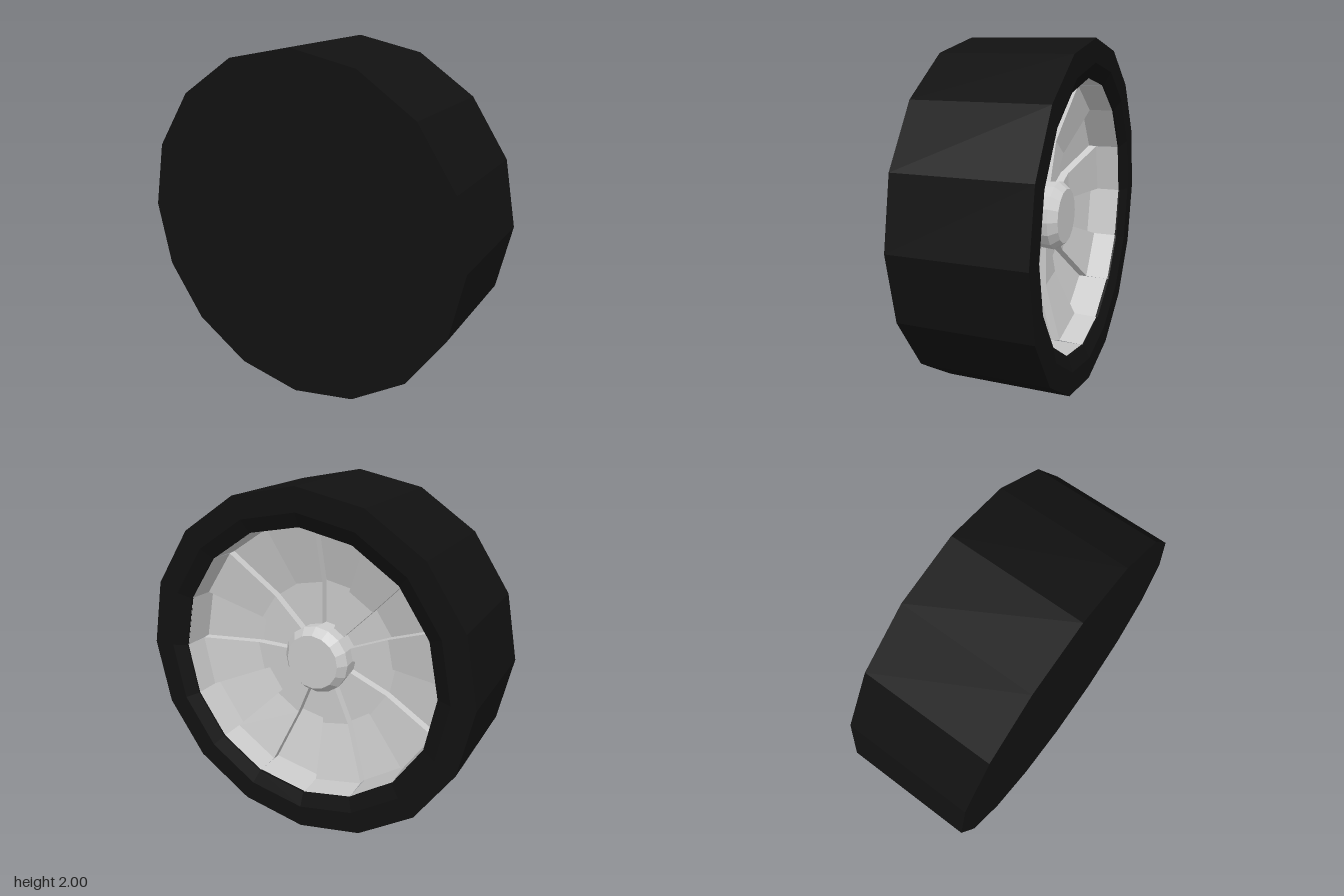
import * as THREE from 'three';

const SIDES = 16;

// Revolved part: profile points are [radius, depth towards the back]
function revolve(name, profile, material) {
  const points = profile.map(([r, d]) => new THREE.Vector2(r, d));
  const geometry = new THREE.LatheGeometry(points, SIDES);
  geometry.rotateX(-Math.PI / 2);
  const mesh = new THREE.Mesh(geometry, material);
  mesh.name = name;
  return mesh;
}

// Dished wheel face whose 16 sectors are alternately raised and recessed
function dishGeometry() {
  const raised = [[0.79, 0.325], [0.785, 0.18], [0.44, 0.09], [0.15, 0.09]];
  const recessed = [[0.79, 0.325], [0.79, 0.13], [0.44, 0.04], [0.15, 0.04]];
  const positions = [];
  const point = ([r, d], a) => [-r * Math.cos(a), r * Math.sin(a), -d];
  const quad = (a, b, c, d) => positions.push(...a, ...b, ...c, ...a, ...c, ...d);

  for (let i = 0; i < SIDES; i++) {
    const a0 = (i / SIDES) * Math.PI * 2;
    const a1 = ((i + 1) / SIDES) * Math.PI * 2;
    const profile = i % 2 === 0 ? raised : recessed;
    for (let j = 0; j < profile.length - 1; j++) {
      const p = profile[j], q = profile[j + 1];
      quad(point(p, a0), point(p, a1), point(q, a1), point(q, a0));
      // radial step between neighbouring sectors
      if (j > 0) {
        quad(point(raised[j], a0), point(raised[j + 1], a0),
          point(recessed[j + 1], a0), point(recessed[j], a0));
      }
    }
  }
  const geometry = new THREE.BufferGeometry();
  geometry.setAttribute('position', new THREE.Float32BufferAttribute(positions, 3));
  geometry.computeVertexNormals();
  return geometry;
}

export function createModel() {
  const rubber = new THREE.MeshStandardMaterial({ color: 0x111111, flatShading: true });
  const metal = new THREE.MeshStandardMaterial({
    color: 0xcccccc, flatShading: true, side: THREE.DoubleSide,
  });

  const wheel = new THREE.Group();
  wheel.name = 'wheel';

  // Tyre: closed flat front, bevelled opening at the back
  wheel.add(revolve('tyre', [
    [0, -0.37], [1, -0.37], [1, 0.37], [0.87, 0.37], [0.79, 0.335], [0.79, 0.32],
  ], rubber));

  const dish = new THREE.Mesh(dishGeometry(), metal);
  dish.name = 'rimDish';
  wheel.add(dish);

  // Hub with bevelled cap
  wheel.add(revolve('hub', [
    [0.19, 0.03], [0.2, 0.165], [0.16, 0.215], [0, 0.215],
  ], metal));

  wheel.position.y = 1;
  const model = new THREE.Group();
  model.name = 'model';
  model.add(wheel);
  return model;
}
